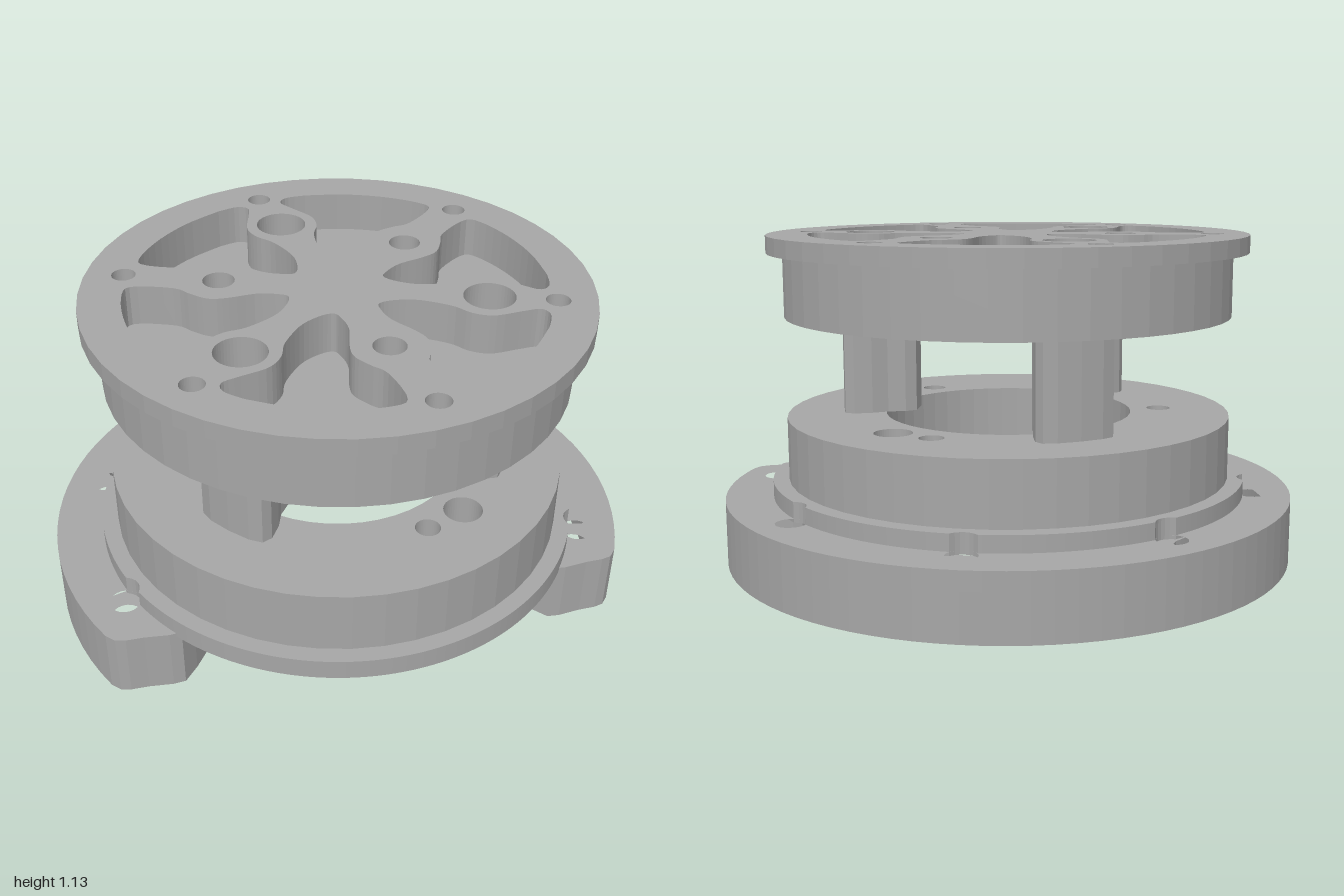
import * as THREE from 'three';

const rad = THREE.MathUtils.degToRad;
// point in plan from radius and angle (0 = +x, 90 = +z)
const polar = (r, deg) => new THREE.Vector2(r * Math.cos(rad(deg)), r * Math.sin(rad(deg)));
const each = (start, step, count) => Array.from({ length: count }, (_, i) => start + step * i);

const RING = each(47.5, 120, 3);      // post axes
const BORE = each(107.5, 120, 3);     // through bores between the posts
const BOLT = each(-175, 45, 6);       // outer bolt circle

function disc(r) {
  return new THREE.Shape().absarc(0, 0, r, 0, Math.PI * 2, false);
}

function hole(r, dist = 0, deg = 0) {
  const c = polar(dist, deg);
  return new THREE.Path().absarc(c.x, c.y, r, 0, Math.PI * 2, true);
}

// horizontal slab of a plan shape between two heights
function slab(shape, holes, y0, y1, segments = 24) {
  shape.holes = holes;
  const g = new THREE.ExtrudeGeometry(shape, { depth: y1 - y0, bevelEnabled: false, curveSegments: segments });
  g.rotateX(Math.PI / 2);
  g.translate(0, y1, 0);
  return g;
}

// rounded web pocket; side mirrors it about the post axis
function webPocket(axis, side) {
  const profile = [
    [0.695, 14], [0.695, 26], [0.695, 38], [0.693, 49], [0.665, 53.5], [0.53, 52.5],
    [0.475, 48], [0.42, 43], [0.36, 42], [0.26, 44], [0.19, 39], [0.168, 31],
    [0.2, 18], [0.27, 11], [0.38, 11.5], [0.45, 14.5], [0.52, 13.5], [0.6, 8], [0.655, 5.5], [0.688, 8],
  ];
  const pts = profile.map(([r, d]) => polar(r, axis + side * d));
  const curve = new THREE.SplineCurve([...pts, pts[0]]);
  return new THREE.Path(curve.getPoints(72).slice(0, -1));
}

// disc outline with bolt notches cut in its edge
function notchedDisc(R, dist, r) {
  const pts = [];
  for (let a = 0; a < 360; a++) {
    let edge = R;
    for (const b of BOLT) {
      const d = rad(((a - b + 540) % 360) - 180);
      const s = dist * Math.sin(d);
      if (Math.abs(d) < 0.3 && Math.abs(s) < r) edge = Math.min(edge, dist * Math.cos(d) - Math.sqrt(r * r - s * s));
    }
    pts.push(polar(edge, a));
  }
  return new THREE.Shape(pts);
}

// open crescent with flared tips, symmetric about the 117 degree axis
function crescent() {
  const tip = [[0.66, 62], [0.75, 64.5], [0.82, 65.5], [0.855, 64], [0.915, 60.6], [0.965, 58.6], [0.99, 57.2], [1, 55]];
  const pts = tip.map(([r, a]) => polar(r, a));
  for (let a = 51; a > -180; a -= 4) pts.push(polar(1, a));
  [...tip].reverse().forEach(([r, a]) => pts.push(polar(r, 234 - a - 360)));
  for (let a = -184; a < 60; a += 4) pts.push(polar(0.66, a));
  return new THREE.Shape(pts);
}

// curved pocket between two bolts
function sectorPocket(mid) {
  const pts = each(-13, 2, 14).map((d) => polar(0.93, mid + d));
  pts.push(polar(0.9, mid + 15), polar(0.79, mid + 15), polar(0.75, mid + 13));
  each(11, -2, 12).forEach((d) => pts.push(polar(0.74, mid + d)));
  pts.push(polar(0.75, mid - 13), polar(0.79, mid - 15), polar(0.9, mid - 15));
  return new THREE.Path(pts);
}

export function createModel() {
  const model = new THREE.Group();
  const body = new THREE.Group();
  body.name = 'mount';
  body.position.z = 0.08;
  model.add(body);

  const metal = new THREE.MeshStandardMaterial({ color: 0xa6a6a6, flatShading: true });
  metal.name = 'grey metal';
  const add = (name, geometry) => {
    const mesh = new THREE.Mesh(geometry, metal);
    mesh.name = name;
    body.add(mesh);
  };

  // base crescent: pocketed underside with a solid top
  const bolts = () => BOLT.map((a) => hole(0.052, 0.865, a));
  const recesses = BOLT.slice(0, 5).map((a) => sectorPocket(a + 22.5));
  add('baseCrescentLower', slab(crescent(), [...bolts(), ...recesses], 0, 0.16, 10));
  add('baseCrescentTop', slab(crescent(), bolts(), 0.16, 0.225, 10));

  // lower ring and its notched flange
  const ringHoles = [
    hole(0.435),
    ...RING.map((a) => hole(0.042, 0.49, a)),
    ...[98, -22, -142].map((a) => hole(0.042, 0.54, a)),
    ...[82, -6].map((a) => hole(0.065, 0.55, a)),
  ];
  add('lowerRing', slab(disc(0.78), ringHoles, 0.28, 0.5));
  add('lowerFlange', slab(notchedDisc(0.835, 0.865, 0.052), [hole(0.7)], 0.212, 0.282));

  // three posts, wide outside and tapered towards the centre
  for (const a of RING) {
    const dir = polar(1, a);
    const plan = [
      [0.095, 0], [0.09, 0.08], [0.075, 0.125], [0.04, 0.135], [-0.02, 0.115], [-0.07, 0.085], [-0.13, 0.07], [-0.165, 0.045],
    ];
    const mirrored = plan.slice(1).reverse().map(([u, v]) => [u, -v]);
    const pts = [...plan, ...mirrored].map(([u, v]) =>
      new THREE.Vector2(dir.x * (0.49 + u) - dir.y * v, dir.y * (0.49 + u) + dir.x * v));
    add('post', slab(new THREE.Shape(pts), [hole(0.042, 0.49, a)], 0.5, 0.85, 10));
  }

  // upper plate: pockets above and below a thin web
  const plateHoles = (ringRadius, pockets) => [
    ...RING.map((a) => hole(ringRadius, 0.49, a)),
    ...BORE.map((a) => hole(0.053, 0.39, a)),
    ...[...RING, ...BORE].map((a) => hole(0.04, 0.707, a)),
    ...(pockets ? RING.flatMap((a) => [webPocket(a, 1), webPocket(a, -1)]) : []),
  ];
  add('upperPlateUnderside', slab(disc(0.78), plateHoles(0.042, true), 0.85, 0.95));
  add('upperPlateWeb', slab(disc(0.78), plateHoles(0.042, false), 0.95, 0.99));
  add('upperPlateBody', slab(disc(0.78), plateHoles(0.085, true), 0.99, 1.07));
  add('upperFlange', slab(disc(0.835), plateHoles(0.085, true), 1.07, 1.13));

  // shallow pads around the bores under the plate
  for (const a of BORE) {
    const c = polar(0.39, a);
    const pad = new THREE.Shape().absarc(c.x, c.y, 0.075, 0, Math.PI * 2, false);
    add('borePad', slab(pad, [hole(0.053, 0.39, a)], 0.84, 0.855));
  }
  return model;
}
